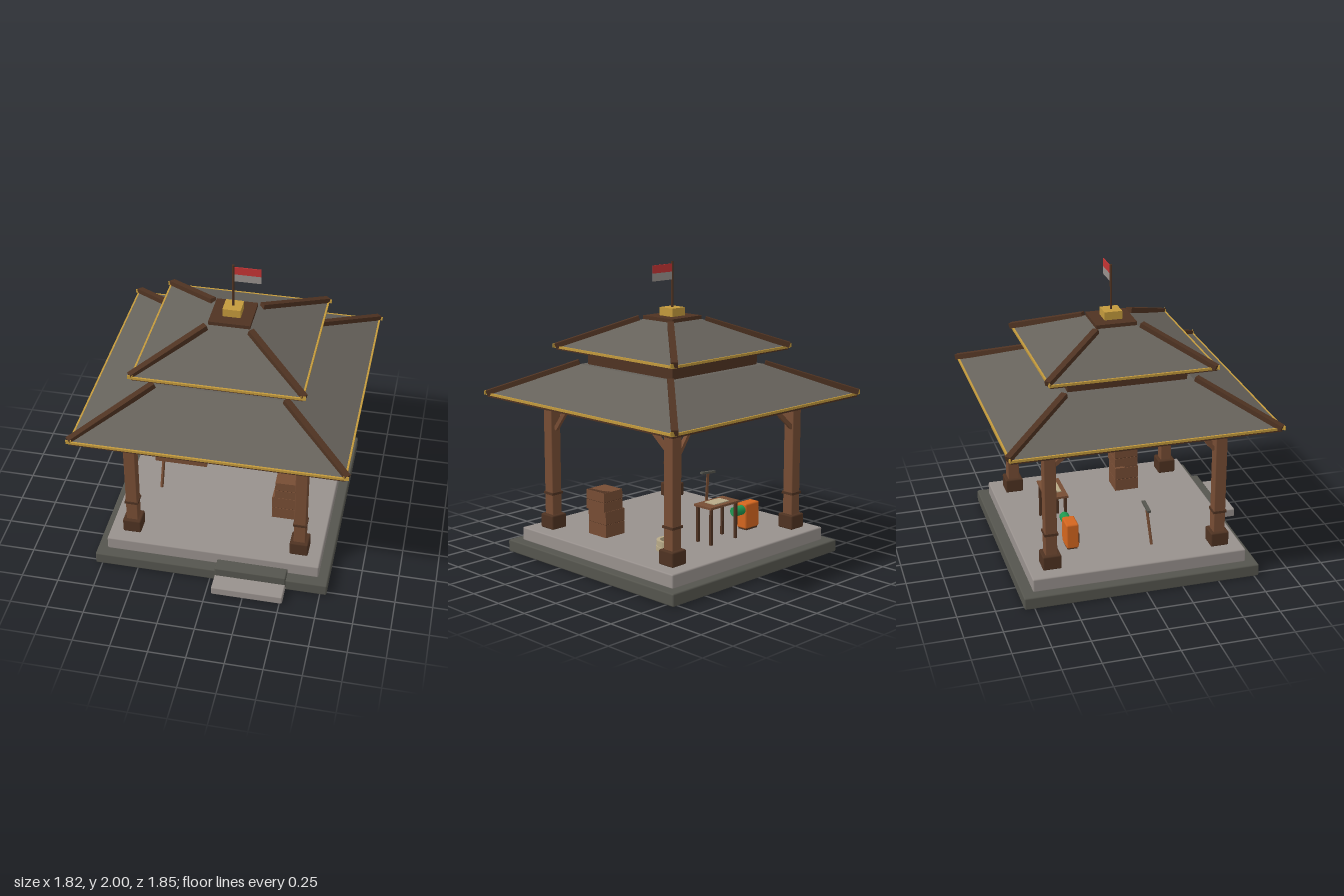
import * as THREE from 'three';
import { RoundedBoxGeometry } from 'three/addons/geometries/RoundedBoxGeometry.js';

const mat = (name, color) => Object.assign(new THREE.MeshStandardMaterial({ color }), { name });

export function createModel() {
  const M = {
    roof: mat('roof slate', 0x66625b),
    stone: mat('light stone', 0x98918d),
    darkStone: mat('dark stone', 0x55554e),
    wood: mat('wood', 0x774d34),
    darkWood: mat('dark wood', 0x4f3322),
    gold: mat('gold', 0xc39a3c),
    orange: mat('orange', 0xd4661f),
    green: mat('green', 0x1f9850),
    red: mat('red', 0xc43434),
    cream: mat('cream', 0xb8aa88),
  };
  const model = new THREE.Group();
  const building = new THREE.Group();
  building.name = 'pavilion';
  building.position.z = -0.018;
  model.add(building);

  const add = (parent, name, geo, material, x = 0, y = 0, z = 0) => {
    const m = new THREE.Mesh(geo, material);
    m.name = name;
    m.position.set(x, y, z);
    parent.add(m);
    return m;
  };
  // Box given by its bottom height y0 and top height y1
  const box = (parent, name, material, w, y0, y1, d, x = 0, z = 0, r = 0) => add(parent, name,
    r ? new RoundedBoxGeometry(w, y1 - y0, d, 1, r) : new THREE.BoxGeometry(w, y1 - y0, d),
    material, x, (y0 + y1) / 2, z);
  // Straight bar between two points
  const bar = (parent, name, material, a, b, w, h) => {
    const p = new THREE.Vector3(...a), q = new THREE.Vector3(...b);
    const m = add(parent, name, new THREE.BoxGeometry(w, h, p.distanceTo(q)), material);
    m.position.copy(p).lerp(q, 0.5);
    m.lookAt(q);
    return m;
  };
  // Square ring of four bars
  const frame = (name, material, half, y0, y1, t) => {
    for (const s of [-1, 1]) {
      box(building, name, material, 2 * half, y0, y1, t, 0, s * (half - t / 2));
      box(building, name, material, t, y0, y1, 2 * (half - t), s * (half - t / 2), 0);
    }
  };
  const corners = [[-1, -1], [-1, 1], [1, -1], [1, 1]];

  // Stone platform and front steps
  box(building, 'lowerPlatform', M.darkStone, 1.59, 0, 0.085, 1.6, 0, 0, 0.01);
  box(building, 'upperPlatform', M.stone, 1.454, 0.08, 0.175, 1.454, 0, 0, 0.01);
  box(model, 'upperStep', M.darkStone, 0.48, 0.02, 0.12, 0.12, 0.278, 0.74, 0.008);
  box(model, 'lowerStep', M.stone, 0.48, 0, 0.06, 0.16, 0.278, 0.84, 0.008);

  // Columns with feet, rings, capitals and braces
  const c = 0.575;
  for (const [sx, sz] of corners) {
    const x = sx * c, z = sz * c;
    box(building, 'columnFoot', M.darkWood, 0.125, 0.175, 0.275, 0.125, x, z, 0.01);
    box(building, 'column', M.wood, 0.08, 0.27, 1.01, 0.08, x, z, 0.006);
    box(building, 'columnRing', M.darkWood, 0.092, 0.413, 0.43, 0.092, x, z);
    box(building, 'lowerCapital', M.darkWood, 0.105, 1.0, 1.035, 0.105, x, z, 0.008);
    box(building, 'upperCapital', M.darkWood, 0.13, 1.03, 1.09, 0.13, x, z, 0.008);
    bar(building, 'brace', M.wood, [x - sx * 0.03, 0.88, z], [x - sx * 0.185, 1.035, z], 0.025, 0.028);
    bar(building, 'brace', M.wood, [x, 0.88, z - sz * 0.03], [x, 1.035, z - sz * 0.185], 0.025, 0.028);
  }
  frame('ringBeam', M.darkWood, c + 0.025, 1.035, 1.085, 0.05);

  // Two hipped roof tiers
  const tier = (name, eave, top, y0, y1, hipTop, soffitY) => {
    const geo = new THREE.CylinderGeometry(top * Math.SQRT2, eave * Math.SQRT2, y1 - y0, 4, 1);
    geo.rotateY(Math.PI / 4);
    const m = new THREE.Mesh(geo.toNonIndexed(), M.roof);
    m.geometry.computeVertexNormals();
    m.name = name;
    m.position.y = (y0 + y1) / 2;
    building.add(m);
    box(building, name + 'Soffit', M.darkWood, 2 * eave - 0.01, soffitY, y0, 2 * eave - 0.01);
    frame(name + 'GoldEdge', M.gold, eave + 0.002, y0 - 0.01, y0 + 0.006, 0.012);
    const slope = (y1 - y0) / (eave - top);
    const at = (h) => y0 + slope * (eave - h) + 0.008;
    for (const [sx, sz] of corners) {
      const e = eave - 0.002, tip = eave + 0.002;
      bar(building, name + 'Hip', M.darkWood, [sx * e, at(e), sz * e],
        [sx * hipTop, at(hipTop), sz * hipTop], 0.042, 0.036);
      bar(building, name + 'HipTip', M.gold, [sx * tip, at(tip), sz * tip],
        [sx * e, at(e), sz * e], 0.036, 0.028);
    }
  };
  tier('lowerRoof', 0.885, 0.44, 1.11, 1.31, 0.44, 1.087);
  box(building, 'roofNeck', M.darkWood, 0.8, 1.29, 1.42, 0.8);
  frame('neckGoldTrim', M.gold, 0.404, 1.394, 1.407, 0.012);
  tier('upperRoof', 0.555, 0.135, 1.43, 1.617, 0.155, 1.41);

  // Roof cap, finial and flag
  box(building, 'roofCap', M.darkWood, 0.276, 1.61, 1.64, 0.276);
  box(building, 'finialBlock', M.gold, 0.12, 1.64, 1.695, 0.12);
  add(building, 'flagPole', new THREE.CylinderGeometry(0.008, 0.008, 0.31, 8), M.darkWood, 0, 1.845, 0);
  box(building, 'flagUpper', M.red, 0.175, 1.932, 1.985, 0.006, 0.095, 0);
  box(building, 'flagLower', M.stone, 0.175, 1.88, 1.932, 0.006, 0.095, 0);

  // Hanging plank sign
  for (let i = 0; i < 3; i++) {
    box(model, 'signPlank', M.wood, 0.343, 0.803 + i * 0.046, 0.847 + i * 0.046, 0.028, -0.228, 0.557);
  }
  box(model, 'signBacking', M.darkWood, 0.335, 0.808, 0.935, 0.02, -0.228, 0.557);
  for (const x of [-0.367, -0.088]) box(model, 'signRope', M.darkWood, 0.008, 0.935, 1.04, 0.008, x, 0.557);

  // Long-handled rake standing on the floor
  bar(model, 'rakeHandle', M.wood, [-0.487, 0.175, 0.125], [-0.47, 0.455, 0.092], 0.016, 0.016);
  bar(model, 'rakeHead', M.darkStone, [-0.535, 0.448, 0.092], [-0.402, 0.46, 0.092], 0.024, 0.015);

  // Orange machine with green drum
  box(model, 'machineBody', M.orange, 0.137, 0.185, 0.362, 0.085, -0.35, -0.4, 0.012);
  box(model, 'machineBase', M.darkWood, 0.11, 0.175, 0.19, 0.07, -0.35, -0.4);
  box(model, 'machinePanel', M.darkWood, 0.106, 0.212, 0.283, 0.008, -0.35, -0.356);
  box(model, 'machinePanelInset', M.wood, 0.088, 0.222, 0.273, 0.008, -0.35, -0.353);
  add(model, 'machineDrum', new THREE.CylinderGeometry(0.033, 0.033, 0.09, 12), M.green, -0.243, 0.318, -0.405)
    .rotation.z = Math.PI / 2;

  // Small table with a sheet on top
  box(model, 'tableTop', M.wood, 0.28, 0.42, 0.435, 0.155, 0, -0.435);
  box(model, 'tableSheet', M.cream, 0.14, 0.435, 0.441, 0.09, 0, -0.435);
  for (const [sx, sz] of corners) {
    box(model, 'tableLeg', M.darkWood, 0.018, 0.175, 0.42, 0.018, sx * 0.118, -0.435 + sz * 0.06);
  }

  // Stacked plank crates
  const crate = (x, y0, y1, z, turn) => {
    const g = new THREE.Group();
    g.name = 'crate';
    g.position.set(x, 0, z);
    g.rotation.y = turn;
    model.add(g);
    const mid = (y0 + y1) / 2;
    box(g, 'crateCore', M.darkWood, 0.164, y0, y1, 0.164);
    box(g, 'crateLowerPlanks', M.wood, 0.17, y0, mid - 0.002, 0.17);
    box(g, 'crateUpperPlanks', M.wood, 0.17, mid + 0.002, y1, 0.17);
  };
  crate(0.417, 0.175, 0.352, 0.193, 0);
  crate(0.435, 0.355, 0.487, 0.193, 0.02);

  // Open round basket with two rims
  const ring = (name, ri, ro, y0, y1) => add(model, name, new THREE.LatheGeometry(
    [[ri, y0], [ro, y0], [ro, y1], [ri, y1], [ri, y0]].map((p) => new THREE.Vector2(...p)), 14),
  Object.assign(M.cream, { flatShading: true }), 0.38, 0, -0.36);
  ring('basketWall', 0.057, 0.074, 0.175, 0.243);
  ring('basketLowerRim', 0.055, 0.08, 0.175, 0.205);
  ring('basketUpperRim', 0.055, 0.078, 0.215, 0.245);

  return model;
}
